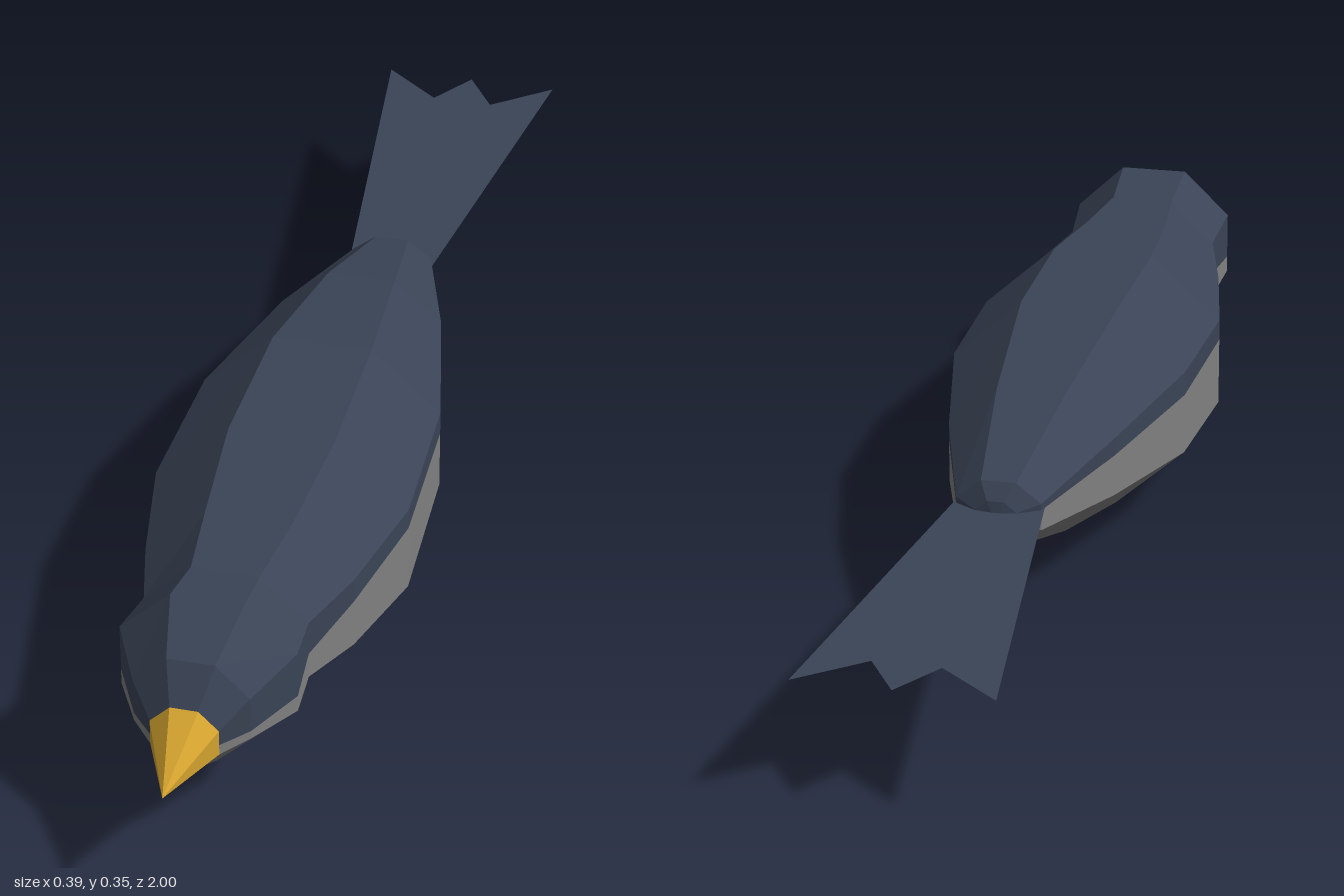
import * as THREE from 'three';

// Joins cross-sections, listed from front to back, with flat-shaded faces.
function loft(rings) {
  const pos = [], idx = [], n = rings[0].length;
  rings.forEach(r => r.forEach(p => pos.push(...p)));
  for (let i = 0; i < rings.length - 1; i++) {
    for (let j = 0; j < n - 1; j++) {
      const a = i * n + j, b = a + 1, c = a + n, d = c + 1;
      idx.push(a, c, b, b, c, d);
    }
  }
  const g = new THREE.BufferGeometry();
  g.setAttribute('position', new THREE.Float32BufferAttribute(pos, 3));
  g.setIndex(idx);
  const flat = g.toNonIndexed();
  flat.computeVertexNormals();
  return flat;
}

// Half of an octagonal section, from the colour line over the back (dir 1) or under the belly (dir -1).
const K = Math.tan(Math.PI / 8);
function halfSection([z, w, top, bottom, split], dir) {
  const cy = (top + bottom) / 2, h = (top - bottom) / 2;
  const s = THREE.MathUtils.clamp(split, cy - h * K, cy + h * K);
  return [
    [dir * w, s, z], [dir * w, cy + dir * h * K, z], [dir * w * K, cy + dir * h, z],
    [-dir * w * K, cy + dir * h, z], [-dir * w, cy + dir * h * K, z], [-dir * w, s, z],
  ];
}

export function createModel() {
  const slate = new THREE.MeshStandardMaterial({ color: 0x3a4456, flatShading: true, side: THREE.DoubleSide });
  slate.name = 'slateBlue';
  const grey = new THREE.MeshStandardMaterial({ color: 0x808080, flatShading: true });
  grey.name = 'bellyGrey';
  const gold = new THREE.MeshStandardMaterial({ color: 0xd4a32f, flatShading: true });
  gold.name = 'beakGold';

  const model = new THREE.Group();
  model.name = 'bird';
  const add = (name, geometry, material) => {
    const mesh = new THREE.Mesh(geometry, material);
    mesh.name = name;
    model.add(mesh);
  };

  // Body sections: z, half width, top, bottom, height of the colour line
  const sections = [
    [0.885, 0.05, 0.257, 0.157, 0.203],
    [0.845, 0.085, 0.31, 0.14, 0.203],
    [0.755, 0.13, 0.352, 0.105, 0.204],
    [0.66, 0.122, 0.33, 0.094, 0.205],
    [0.53, 0.157, 0.331, 0.045, 0.208],
    [0.34, 0.195, 0.346, 0, 0.211],
    [0.09, 0.187, 0.345, 0.016, 0.21],
    [-0.17, 0.13, 0.302, 0.075, 0.207],
    [-0.385, 0.065, 0.24, 0.138, 0.2],
    [-0.405, 0.032, 0.216, 0.163, 0.193],
    [-0.412, 0, 0.19, 0.19, 0.19],
  ];
  add('back', loft(sections.map(s => halfSection(s, 1))), slate);
  add('belly', loft(sections.map(s => halfSection(s, -1))), grey);

  // Beak: eight-sided cone with its tip set a little low
  const base = [], tip = [];
  for (let i = 0; i <= 8; i++) {
    const a = (i + 0.5) * Math.PI / 4, r = 0.05 / Math.cos(Math.PI / 8);
    base.push([r * Math.cos(a), 0.207 + r * Math.sin(a), 0.885]);
    tip.push([0, 0.191, 1]);
  }
  add('beak', loft([tip, base]), gold);

  // Tail: flat fan with two notches, sloping slightly down
  const outline = [
    [-0.068, 0.375], [0.068, 0.375], [0.145, 1], [0.05, 0.92],
    [0, 1], [-0.05, 0.92], [-0.145, 1],
  ].map(p => new THREE.Vector2(...p));
  const tail = new THREE.ShapeGeometry(new THREE.Shape(outline));
  tail.rotateX(-Math.PI / 2);
  const p = tail.attributes.position;
  for (let i = 0; i < p.count; i++) p.setY(i, 0.208 + 0.02 * p.getZ(i));
  tail.computeVertexNormals();
  add('tail', tail, slate);

  return model;
}
